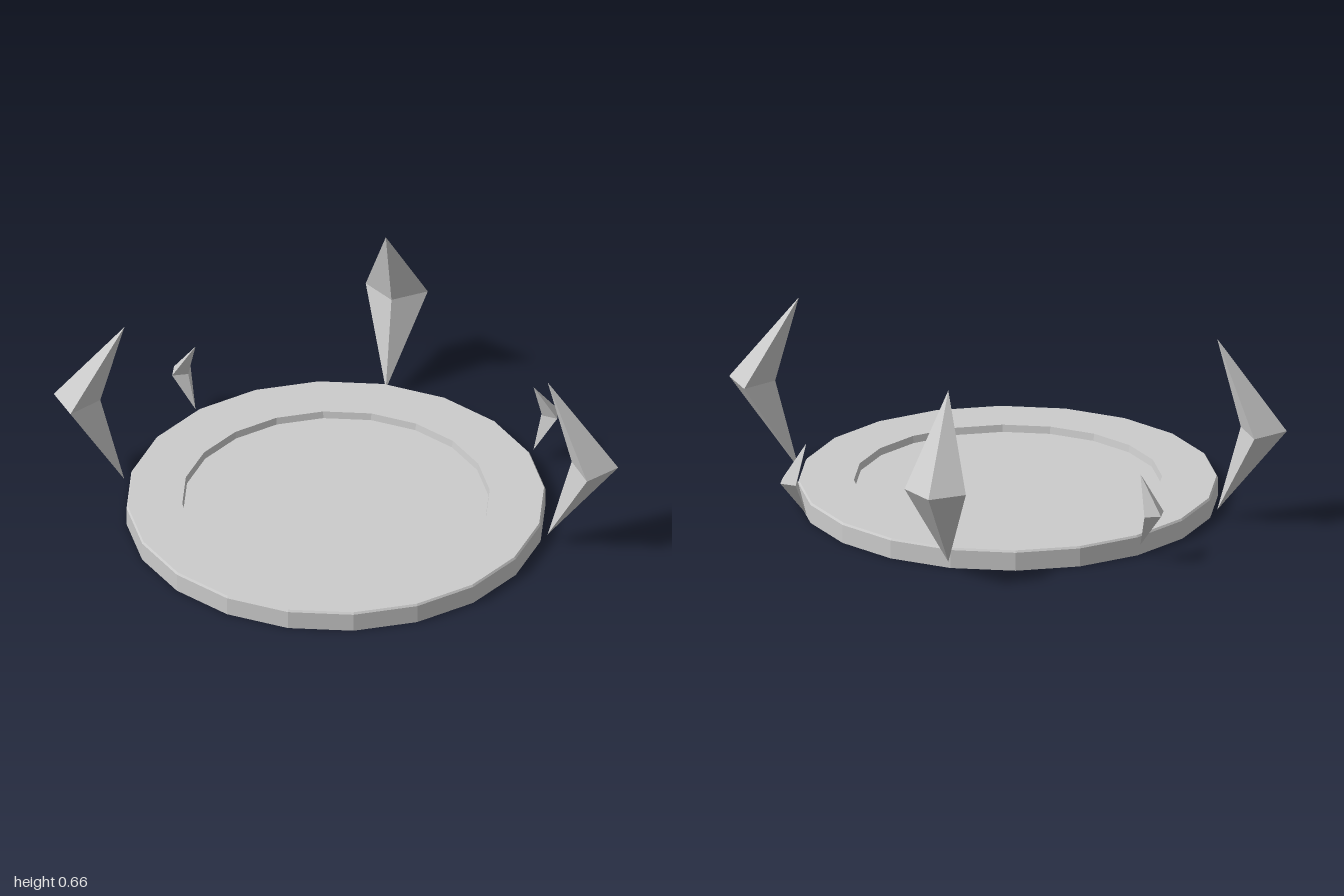
import * as THREE from 'three';

const CENTER_Z = 0.137;

// Four-sided shard bowed outwards: both tips lie on the local axis, the kite-shaped waist is pushed to +z
function shardGeometry() {
  const waist = [[0, 0.25], [0.11, 0.165], [0, 0.085], [-0.11, 0.165]];
  const half = 0.315;
  const positions = [0, half, 0, 0, -half, 0];
  const index = [];
  waist.forEach(([x, z], i) => {
    const a = 2 + i, b = 2 + (i + 1) % 4;
    positions.push(x, 0, z);
    index.push(a, b, 0, b, a, 1);
  });
  const geometry = new THREE.BufferGeometry();
  geometry.setAttribute('position', new THREE.Float32BufferAttribute(positions, 3));
  geometry.setIndex(index);
  geometry.computeVertexNormals();
  return geometry;
}

export function createModel() {
  const model = new THREE.Group();
  model.name = 'shardPlatform';

  // Thin 20-sided shell, open below, with a shallow sunken floor
  const profile = [[0.725, 0], [0.725, 0.066], [0.72, 0.073], [0.532, 0.073], [0.528, 0.048], [0, 0.048]]
    .map(([r, y]) => new THREE.Vector2(r, y));
  const platform = new THREE.Mesh(
    new THREE.LatheGeometry(profile, 20),
    new THREE.MeshStandardMaterial({ color: 0xcccccc, flatShading: true, side: THREE.DoubleSide })
  );
  platform.name = 'platform';
  platform.position.z = CENTER_Z;
  model.add(platform);

  // Shards: tip position, height of the waist, outward heading and scale
  const geometry = shardGeometry();
  const material = new THREE.MeshStandardMaterial({ color: 0xcccccc, flatShading: true });
  const addShard = (name, x, y, z, outX, outZ, scale) => {
    const shard = new THREE.Mesh(geometry, material);
    shard.name = name;
    shard.position.set(x, y, z);
    shard.rotation.y = Math.atan2(outX, outZ);
    shard.scale.setScalar(scale);
    model.add(shard);
  };
  addShard('leftShard', 0.75, 0.347, CENTER_Z, 1, 0, 1);
  addShard('rightShard', -0.75, 0.347, CENTER_Z, -1, 0, 1);
  addShard('backShard', 0, 0.347, CENTER_Z - 0.75, 0, -1, 1);
  addShard('smallLeftShard', 0.588, 0.18, -0.337, 0.7, -0.71, 0.413);
  addShard('smallRightShard', -0.604, 0.18, -0.315, -0.86, -0.51, 0.413);

  return model;
}
